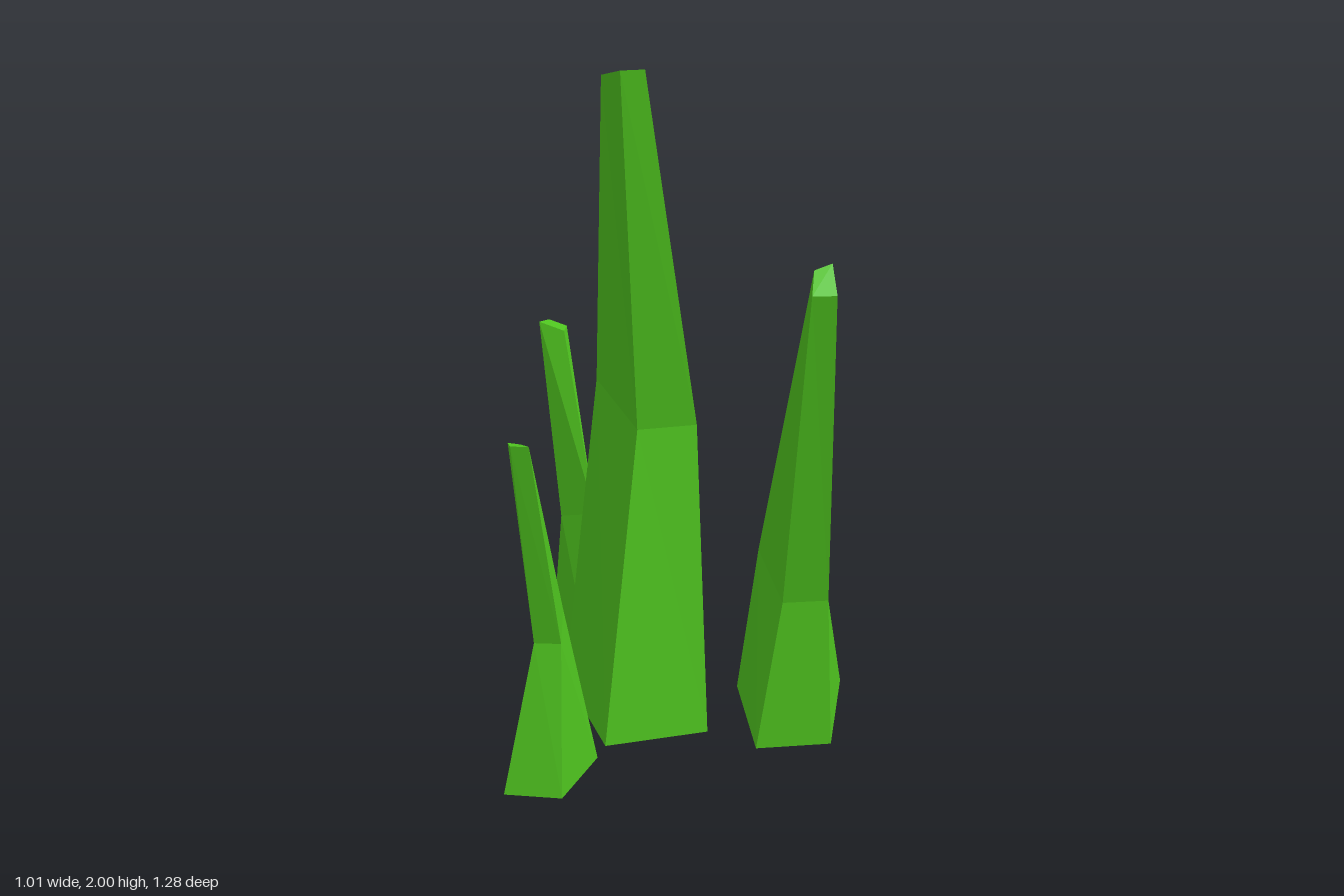
import * as THREE from 'three';

// Each blade: three four-cornered rings (base, bend, tip),
// corners in order front-left, front-right, back-right, back-left.
const blades = {
  tallBlade: [
    [[-0.16, 0, 0.21], [0.125, 0, 0.075], [0.045, 0, -0.425], [-0.365, 0, -0.23]],
    [[-0.07, 0.96, 0.15], [0.09, 0.96, 0.08], [-0.08, 1.08, -0.215], [-0.23, 1.03, -0.1]],
    [[-0.07, 2, 0.4], [-0.01, 2, 0.37], [-0.105, 1.975, 0.29], [-0.13, 1.98, 0.34]],
  ],
  sideBlade: [
    [[0.29, 0.06, 0.28], [0.5, 0.06, 0.22], [0.505, 0.1, -0.125], [0.2, 0.1, -0.04]],
    [[0.36, 0.52, 0.295], [0.485, 0.52, 0.26], [0.37, 0.64, 0.06], [0.275, 0.61, 0.13]],
    [[0.44, 1.46, 0.535], [0.503, 1.46, 0.52], [0.485, 1.53, 0.46], [0.44, 1.515, 0.48]],
  ],
  frontBlade: [
    [[-0.39, 0, 0.54], [-0.225, 0, 0.54], [-0.17, 0, 0.285], [-0.4, 0, 0.295]],
    [[-0.305, 0.445, 0.495], [-0.23, 0.445, 0.49], [-0.25, 0.49, 0.355], [-0.28, 0.49, 0.38]],
    [[-0.325, 1.06, 0.64], [-0.277, 1.06, 0.635], [-0.315, 1.04, 0.56], [-0.345, 1.05, 0.58]],
  ],
  backBlade: [
    [[-0.37, 0, -0.63], [-0.46, 0, -0.5], [-0.295, 0, -0.305], [-0.165, 0, -0.49]],
    [[-0.385, 0.45, -0.53], [-0.42, 0.45, -0.485], [-0.295, 0.49, -0.41], [-0.305, 0.48, -0.455]],
    [[-0.48, 1.06, -0.64], [-0.505, 1.06, -0.605], [-0.42, 1.04, -0.58], [-0.42, 1.045, -0.625]],
  ],
};

// Joins the rings with side faces and closes the tip; the base stays open
function bladeGeometry(rings) {
  const index = [];
  for (let r = 0; r < rings.length - 1; r++) {
    for (let i = 0; i < 4; i++) {
      const a = r * 4 + i, b = r * 4 + (i + 1) % 4;
      index.push(a, b, a + 4, b, b + 4, a + 4);
    }
  }
  const t = (rings.length - 1) * 4;
  index.push(t, t + 1, t + 2, t, t + 2, t + 3);
  const geometry = new THREE.BufferGeometry();
  geometry.setAttribute('position', new THREE.Float32BufferAttribute(rings.flat(2), 3));
  geometry.setIndex(index);
  const flat = geometry.toNonIndexed();
  flat.computeVertexNormals();
  return flat;
}

export function createModel() {
  const group = new THREE.Group();
  group.name = 'grassTuft';
  const green = new THREE.MeshStandardMaterial({
    color: 0x4fc41f, flatShading: true, side: THREE.DoubleSide,
  });
  for (const [name, rings] of Object.entries(blades)) {
    const blade = new THREE.Mesh(bladeGeometry(rings), green);
    blade.name = name;
    group.add(blade);
  }
  return group;
}
